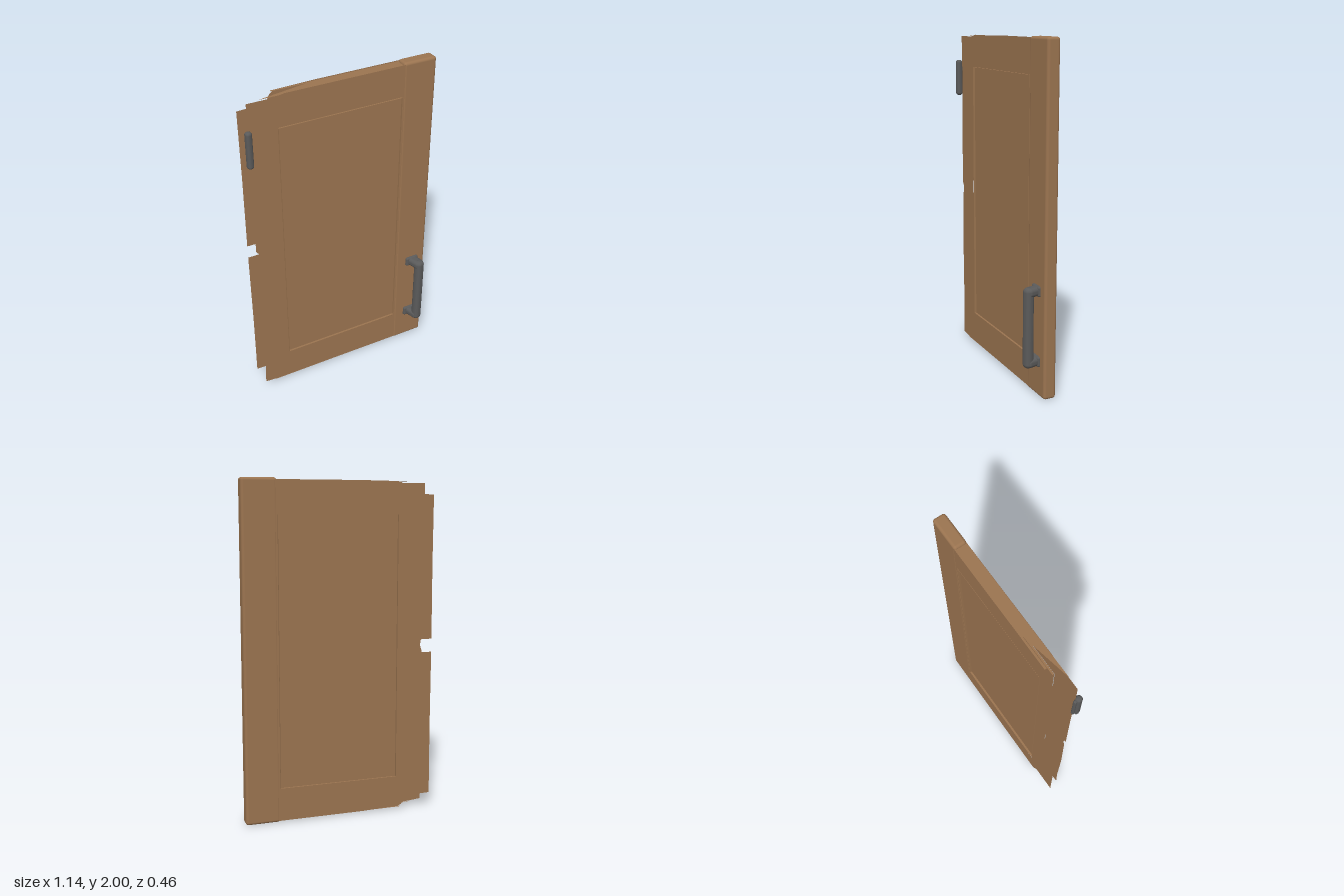
import * as THREE from 'three';
import { RoundedBoxGeometry } from 'three/addons/geometries/RoundedBoxGeometry.js';

const wood = new THREE.MeshStandardMaterial({ name: 'brown wood', color: 0x9b7450, side: THREE.DoubleSide });
const metal = new THREE.MeshStandardMaterial({ name: 'dark grey metal', color: 0x5a5a5a });

const SWING = 0.279;            // angle of the open door
const BACK = -0.072;            // depth of the back skin
const RECESS = 0.012;           // panel inset
const STILE = 0.366;            // where the solid stile begins

const vectors = pts => pts.map(([x, y]) => new THREE.Vector2(x, y));

function add(parent, name, geometry, material, x = 0, y = 0, z = 0) {
  const mesh = new THREE.Mesh(geometry, material);
  mesh.name = name;
  mesh.position.set(x, y, z);
  parent.add(mesh);
  return mesh;
}

// Closed band of wall quads following a loop of points between two depths
function wallBand(pts, z0, z1) {
  const pos = [];
  pts.forEach(([ax, ay], i) => {
    const [bx, by] = pts[(i + 1) % pts.length];
    pos.push(ax, ay, z0, bx, by, z0, bx, by, z1, ax, ay, z0, bx, by, z1, ax, ay, z1);
  });
  const g = new THREE.BufferGeometry();
  g.setAttribute('position', new THREE.Float32BufferAttribute(pos, 3));
  g.computeVertexNormals();
  return g;
}

// Thin door face with an inset panel
function skin(parent, name, outline, left, z, panelZ) {
  const loop = [[left, 0.2], [STILE, 0.2], [STILE, 1.8], [left, 1.8]];
  const inner = loop.map(([x, y]) => [x === left ? x + 0.004 : x - 0.004, y < 1 ? y + 0.005 : y - 0.005]);
  const shape = new THREE.Shape(vectors(outline));
  shape.holes.push(new THREE.Path(vectors([...loop].reverse())));
  add(parent, name + 'Frame', new THREE.ShapeGeometry(shape), wood, 0, 0, z);
  add(parent, name + 'PanelEdge', wallBand(inner, z, panelZ), wood);
  add(parent, name + 'Panel', new THREE.ShapeGeometry(new THREE.Shape(vectors(loop))), wood, 0, 0, panelZ);
}

export function createModel() {
  const model = new THREE.Group();
  model.name = 'cabinetDoor';
  const door = new THREE.Group();
  door.name = 'door';
  door.rotation.y = -SWING;
  model.add(door);

  // Front face with a ragged hinge edge and a small notch
  skin(door, 'front', [
    [-0.565, 0.02], [-0.47, 0.012], [STILE + 0.01, 0.008], [STILE + 0.01, 1.99], [-0.35, 1.99],
    [-0.42, 1.978], [-0.565, 1.978], [-0.565, 1.4], [-0.568, 1.05], [-0.553, 1.03],
    [-0.55, 1.0], [-0.56, 0.97], [-0.567, 0.6], [-0.56, 0.2],
  ], -0.396, 0, -RECESS);

  // Back face, cut away at the corners and across the middle of the hinge edge
  skin(door, 'back', [
    [-0.405, 0.025], [-0.38, 0.015], [-0.15, 0.008], [STILE + 0.01, 0.008], [STILE + 0.01, 1.99],
    [-0.15, 1.99], [-0.38, 1.985], [-0.405, 1.965], [-0.43, 1.92], [-0.592, 1.91],
    [-0.59, 1.5], [-0.592, 1.05], [-0.43, 1.05], [-0.42, 0.97], [-0.592, 0.97],
    [-0.59, 0.5], [-0.592, 0.08], [-0.43, 0.075],
  ], -0.372, BACK, BACK + RECESS);

  // Top and bottom caps, tapering off toward the open hinge side
  const cap = new THREE.ShapeGeometry(new THREE.Shape(vectors([
    [-0.5, 0], [-0.2, BACK + 0.012], [-0.4, BACK + 0.012], [-0.4, BACK],
    [STILE + 0.01, BACK], [STILE + 0.01, 0],
  ])));
  cap.rotateX(Math.PI / 2);
  add(door, 'topCap', cap, wood, 0, 1.985, 0);
  add(door, 'bottomCap', cap, wood, 0, 0.01, 0);

  // Solid rounded stile on the handle side
  add(door, 'stile', new RoundedBoxGeometry(0.206, 2, 0.076, 4, 0.016), wood,
    STILE + 0.103, 1, -0.035);

  // Pull handle: bar, two arms and two feet
  const handle = new THREE.Group();
  handle.name = 'handle';
  model.add(handle);
  add(handle, 'handleBar', new RoundedBoxGeometry(0.058, 0.47, 0.056, 5, 0.025), metal, 0.46, 0.415, 0.201);
  for (const y of [0.209, 0.621]) {
    add(handle, 'handleArm', new RoundedBoxGeometry(0.066, 0.054, 0.11, 4, 0.022), metal, 0.46, y, 0.165);
    const foot = add(handle, 'handleFoot', new RoundedBoxGeometry(0.086, 0.062, 0.028, 3, 0.012), metal, 0.458, y, 0.135);
    foot.rotation.y = -SWING;
  }

  // Hinge knuckle with its small leaf
  const hinge = new THREE.Group();
  hinge.name = 'hinge';
  model.add(hinge);
  add(hinge, 'hingeKnuckle', new RoundedBoxGeometry(0.037, 0.22, 0.038, 4, 0.016), metal, -0.553, 1.72, -0.14);
  add(hinge, 'hingeLeaf', new RoundedBoxGeometry(0.018, 0.19, 0.026, 2, 0.006), metal, -0.548, 1.72, -0.157);

  return model;
}
